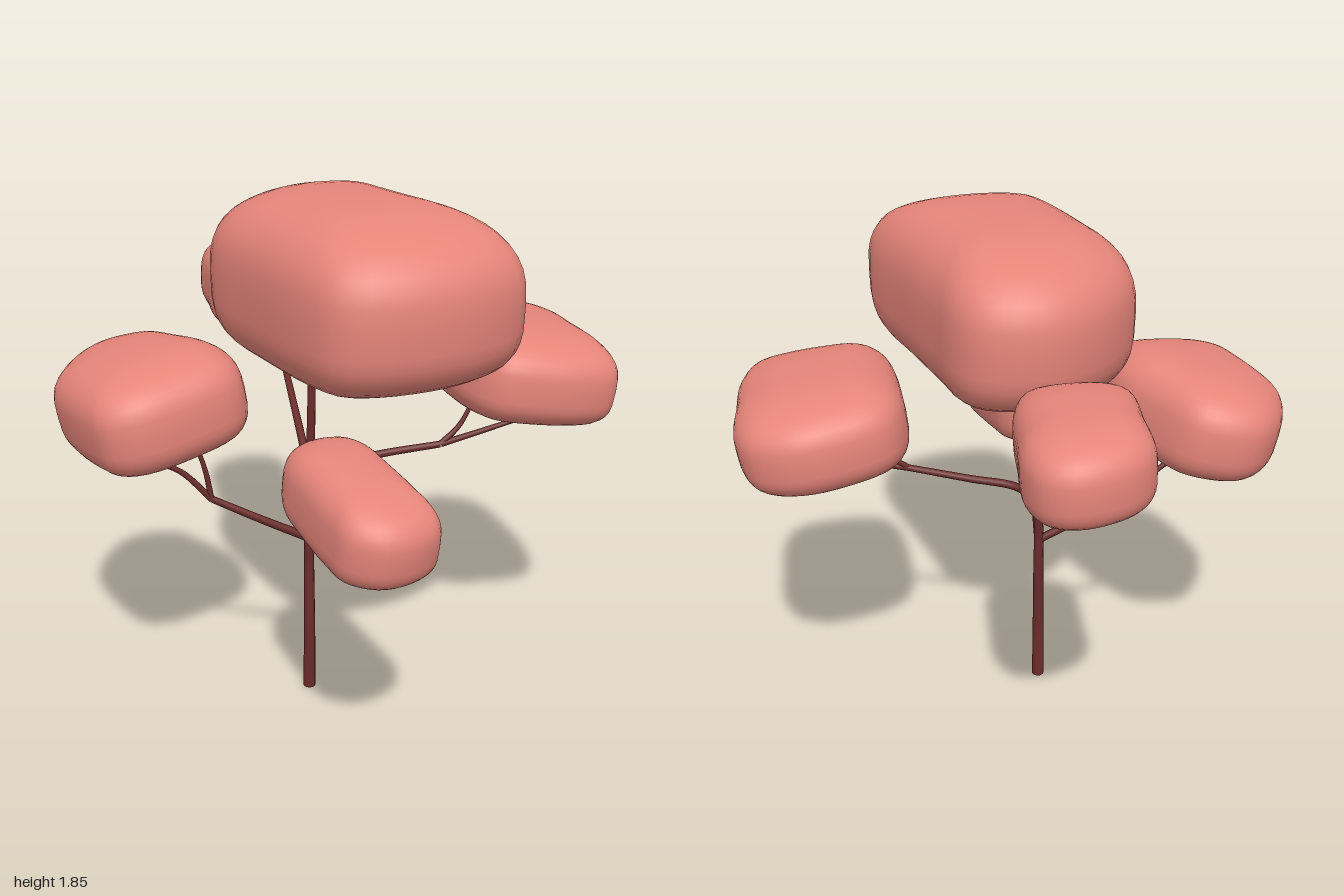
import * as THREE from 'three';
import { mergeVertices } from 'three/addons/utils/BufferGeometryUtils.js';

const leafMat = new THREE.MeshStandardMaterial({ color: 0xe6857a });
const barkMat = new THREE.MeshStandardMaterial({ color: 0x6a2c2a });
const vec = (p) => new THREE.Vector3(...p);

// Soft cushion: a plan outline [x, z], clockwise from above, swept through a rounded height profile, then tilted
function cushion(name, { outline, y, half, kx = 0, kz = 0, nTop = 2.8, nBottom = 3.5 }) {
  const around = 56, up = 24;
  const curve = new THREE.CatmullRomCurve3(outline.map(([x, z]) => new THREE.Vector3(x, 0, z)), true, 'centripetal');
  const ring = curve.getSpacedPoints(around).slice(0, around);
  const box = new THREE.Box3().setFromPoints(ring);
  const c = box.getCenter(new THREE.Vector3());
  const pos = [], idx = [];
  for (let j = 0; j <= up; j++) {
    const a = -Math.PI / 2 + Math.PI * j / up;
    const e = 2 / (a > 0 ? nTop : nBottom);
    const s = j === 0 || j === up ? 0 : Math.pow(Math.cos(a), e);
    const h = Math.sign(a) * Math.pow(Math.abs(Math.sin(a)), e) * half;
    for (const p of ring) {
      const dx = (p.x - c.x) * s, dz = (p.z - c.z) * s;
      pos.push(c.x + dx - kx * h, y + h + kx * dx + kz * dz, c.z + dz - kz * h);
    }
  }
  for (let j = 0; j < up; j++) {
    for (let i = 0; i < around; i++) {
      const n = (i + 1) % around;
      const a = j * around + i, b = j * around + n, d = a + around, f = b + around;
      if (j > 0) idx.push(a, d, b);
      if (j < up - 1) idx.push(b, d, f);
    }
  }
  let g = new THREE.BufferGeometry();
  g.setAttribute('position', new THREE.Float32BufferAttribute(pos, 3));
  g.setIndex(idx);
  g = mergeVertices(g, 1e-5);
  g.computeVertexNormals();
  const mesh = new THREE.Mesh(g, leafMat);
  mesh.name = name;
  return mesh;
}

// Tapered tube through a few points
function limb(name, points, r0, r1) {
  const curve = new THREE.CatmullRomCurve3(points.map(vec));
  const segs = 24, sides = 10;
  const g = new THREE.TubeGeometry(curve, segs, 1, sides, false);
  const pos = g.attributes.position, v = new THREE.Vector3();
  for (let i = 0; i < pos.count; i++) {
    const t = Math.floor(i / (sides + 1)) / segs;
    const c = curve.getPointAt(t);
    v.fromBufferAttribute(pos, i).sub(c).multiplyScalar(r0 + (r1 - r0) * t).add(c);
    pos.setXYZ(i, v.x, v.y, v.z);
  }
  const mesh = new THREE.Mesh(g, barkMat);
  mesh.name = name;
  return mesh;
}

export function createModel() {
  const tree = new THREE.Group();
  tree.name = 'tree';

  // Foliage
  tree.add(
    cushion('topFoliage', {
      y: 1.565, half: 0.285, nTop: 2.7,
      outline: [[0, -0.435], [0.13, -0.41], [0.21, -0.32], [0.27, -0.15], [0.37, 0.13], [0.49, 0.48], [0.475, 0.59],
        [0.28, 0.73], [0.02, 0.785], [-0.14, 0.75], [-0.22, 0.63], [-0.35, 0.25], [-0.41, 0.02], [-0.39, -0.13],
        [-0.28, -0.3], [-0.13, -0.41]],
    }),
    cushion('leftFoliage', {
      y: 1.2, half: 0.168, kx: -0.14,
      outline: [[0.37, -0.2], [0.42, -0.3], [0.55, -0.365], [0.72, -0.395], [0.86, -0.34], [0.925, -0.22], [0.945, 0],
        [0.955, 0.2], [0.915, 0.34], [0.8, 0.385], [0.65, 0.395], [0.5, 0.37], [0.425, 0.27], [0.375, 0]],
    }),
    cushion('rightFoliage', {
      y: 1.17, half: 0.178, kx: 0.18,
      outline: [[-0.95, 0], [-0.885, -0.19], [-0.8, -0.28], [-0.7, -0.3], [-0.58, -0.27], [-0.45, -0.1], [-0.37, 0.03],
        [-0.335, 0.17], [-0.37, 0.29], [-0.55, 0.39], [-0.7, 0.43], [-0.8, 0.4], [-0.86, 0.3], [-0.935, 0.09]],
    }),
    cushion('frontFoliage', {
      y: 0.978, half: 0.147, kx: -0.08, kz: -0.11,
      outline: [[-0.24, 0.43], [-0.16, 0.37], [-0.06, 0.36], [0.01, 0.43], [0.06, 0.58], [0.12, 0.8], [0.135, 0.9],
        [0.05, 0.975], [-0.06, 1], [-0.16, 0.95], [-0.2, 0.85], [-0.25, 0.65], [-0.27, 0.52]],
    }),
    cushion('backFoliage', {
      y: 1.36, half: 0.148, kx: -0.05,
      outline: [[-0.35, -0.47], [-0.355, -0.65], [-0.35, -0.85], [-0.28, -0.94], [-0.12, -1], [-0.02, -0.97],
        [0.035, -0.87], [0.04, -0.7], [0.035, -0.5], [0, -0.41], [-0.1, -0.375], [-0.25, -0.385], [-0.32, -0.42]],
    }),
  );

  // Trunk, rising into the top foliage
  tree.add(limb('trunk', [[-0.11, 0, 0.11], [-0.11, 0.25, 0.12], [-0.107, 0.5, 0.103], [-0.108, 0.62, 0.11],
    [-0.1, 0.82, 0.09], [-0.095, 1.05, 0.1], [-0.09, 1.4, 0.1]], 0.023, 0.012));
  const base = new THREE.Mesh(new THREE.CircleGeometry(0.023, 10).rotateX(Math.PI / 2), barkMat);
  base.name = 'trunkBase';
  base.position.set(-0.11, 0.001, 0.11);
  tree.add(base);

  // Forked branches: main stem to the fork, then the two twigs
  const branches = {
    right: [
      [[-0.107, 0.61, 0.11], [-0.28, 0.7, 0.11], [-0.45, 0.79, 0.1]],
      [[-0.45, 0.79, 0.1], [-0.55, 0.9, 0.1], [-0.64, 0.95, 0.11], [-0.74, 0.99, 0.11]],
      [[-0.45, 0.79, 0.1], [-0.468, 0.9, 0.1], [-0.51, 1.04, 0.1]],
    ],
    front: [
      [[-0.107, 0.61, 0.11], [-0.11, 0.66, 0.25], [-0.13, 0.76, 0.42]],
      [[-0.13, 0.76, 0.42], [-0.1, 0.81, 0.55], [-0.03, 0.845, 0.72]],
      [[-0.13, 0.76, 0.42], [-0.15, 0.82, 0.46], [-0.165, 0.89, 0.49]],
    ],
    left: [
      [[-0.1, 0.78, 0.095], [-0.02, 0.86, 0.065], [0.15, 0.895, 0.075], [0.37, 0.93, 0.11]],
      [[0.37, 0.93, 0.11], [0.55, 0.97, 0.1], [0.68, 1.005, 0.1], [0.77, 1.04, 0.1]],
      [[0.37, 0.93, 0.11], [0.44, 0.99, 0.1], [0.5, 1.09, 0.09]],
    ],
    back: [
      [[-0.1, 0.83, 0.09], [-0.1, 0.9, 0], [-0.1, 1.02, -0.23], [-0.1, 1.12, -0.43]],
      [[-0.1, 1.12, -0.43], [-0.11, 1.17, -0.53], [-0.13, 1.24, -0.67]],
      [[-0.1, 1.12, -0.43], [-0.09, 1.18, -0.47], [-0.07, 1.27, -0.47]],
    ],
  };
  for (const [side, [stem, longTwig, shortTwig]] of Object.entries(branches)) {
    tree.add(
      limb(side + 'Branch', stem, 0.016, 0.012),
      limb(side + 'LongTwig', longTwig, 0.012, 0.007),
      limb(side + 'ShortTwig', shortTwig, 0.011, 0.007),
    );
  }
  return tree;
}
